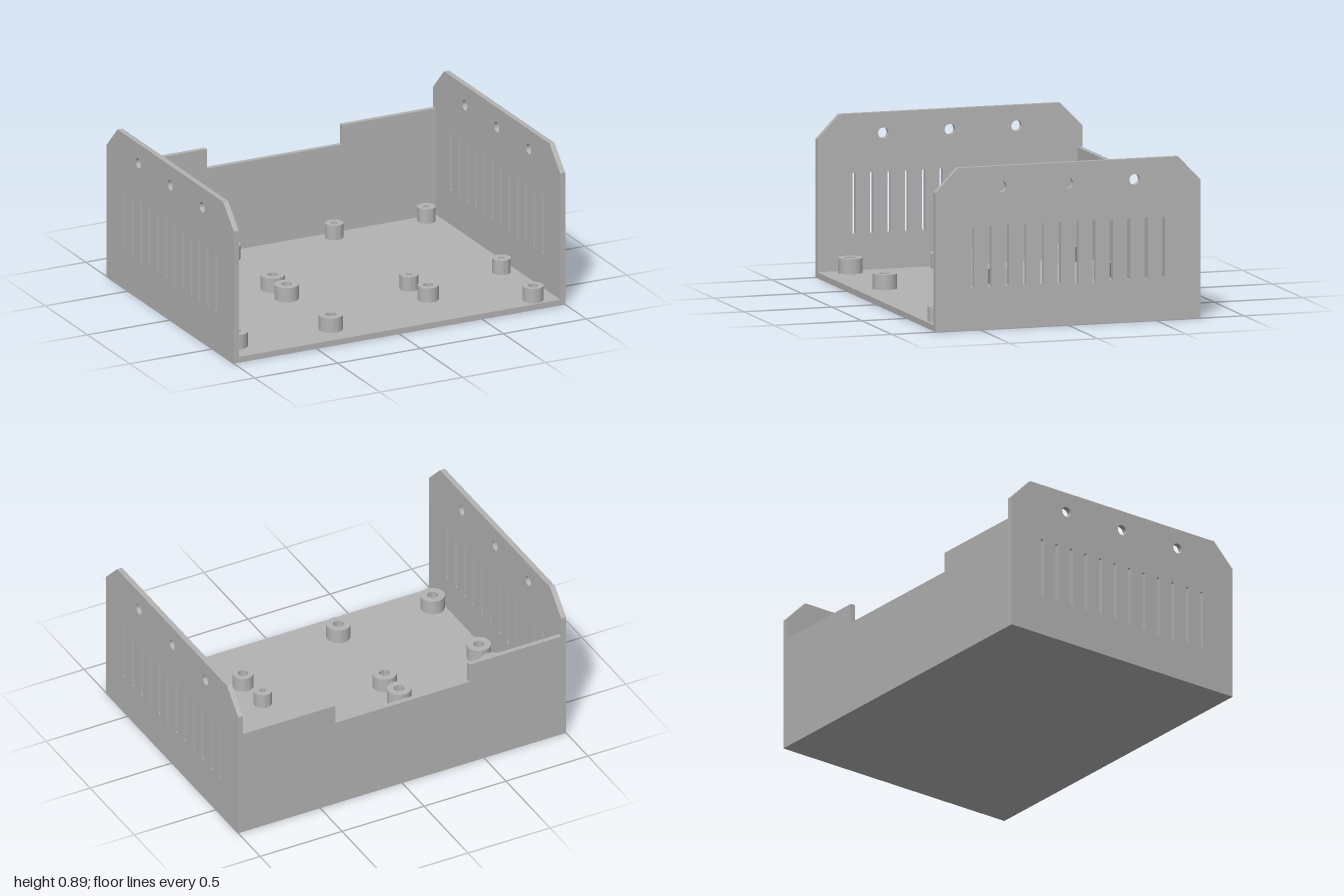
import * as THREE from 'three';
import { toCreasedNormals } from 'three/addons/utils/BufferGeometryUtils.js';

const HALF_X = 1, HALF_Z = 0.752, WALL = 0.03, FLOOR = 0.033;

function polygon(points) {
  return new THREE.Shape(points.map(([x, y]) => new THREE.Vector2(x, y)));
}

function circleHole(x, y, r) {
  return new THREE.Path().absarc(x, y, r, 0, Math.PI * 2, true);
}

function extrude(shape, depth) {
  const geometry = new THREE.ExtrudeGeometry(shape, { depth, bevelEnabled: false, curveSegments: 32 });
  return toCreasedNormals(geometry, 0.6);
}

// Side panel outline in z and y, with vent slots and screw holes
function sidePanelGeometry() {
  const shape = polygon([
    [-HALF_Z, 0], [HALF_Z, 0], [HALF_Z, 0.757], [0.625, 0.886],
    [-0.625, 0.886], [-HALF_Z, 0.757],
  ]);
  for (let i = 0; i < 12; i++) {
    const z = (i - 5.5) * 0.0986, w = 0.0095;
    shape.holes.push(polygon([[z - w, 0.231], [z - w, 0.562], [z + w, 0.562], [z + w, 0.231]]));
  }
  for (const z of [-0.378, 0, 0.378]) shape.holes.push(circleHole(z, 0.773, 0.029));
  return extrude(shape, WALL).rotateY(-Math.PI / 2);
}

// Hollow cylindrical post standing on the floor
function standoffGeometry(radius, bore) {
  const shape = new THREE.Shape().absarc(0, 0, radius, 0, Math.PI * 2, false);
  shape.holes.push(circleHole(0, 0, bore));
  return extrude(shape, 0.082).rotateX(-Math.PI / 2);
}

export function createModel() {
  const group = new THREE.Group();
  group.name = 'enclosure';
  const grey = new THREE.MeshStandardMaterial({ color: 0xb3b3b3 });
  grey.name = 'plainGrey';

  const add = (name, geometry, x, y, z) => {
    const mesh = new THREE.Mesh(geometry, grey);
    mesh.name = name;
    mesh.position.set(x, y, z);
    group.add(mesh);
  };

  // Floor between the side panels
  const inner = HALF_X - WALL;
  add('floor', new THREE.BoxGeometry(2 * inner, FLOOR, 2 * HALF_Z), 0, FLOOR / 2, 0);

  // Side panels
  const side = sidePanelGeometry();
  add('leftPanel', side, HALF_X, 0, 0);
  add('rightPanel', side, -inner, 0, 0);

  // Back panel with a wide notch in its top edge
  const back = polygon([
    [-inner, FLOOR], [inner, FLOOR], [inner, 0.64], [0.407, 0.64],
    [0.407, 0.528], [-0.41, 0.528], [-0.41, 0.64], [-inner, 0.64],
  ]);
  add('backPanel', extrude(back, WALL - 0.003), 0, 0, -HALF_Z);

  // Standoffs in three sizes
  const large = standoffGeometry(0.066, 0.029);
  for (const x of [-0.905, -0.33]) {
    for (const z of [-0.627, -0.102, 0.063, 0.587]) add('largeStandoff', large, x, FLOOR, z);
  }
  const small = standoffGeometry(0.05, 0.0175);
  for (const x of [0.325, 0.882]) {
    for (const z of [-0.66, 0.227]) add('smallStandoff', small, x, FLOOR, z);
  }
  const medium = standoffGeometry(0.057, 0.027);
  add('mediumStandoff', medium, 0.342, FLOOR, 0.42);
  add('mediumStandoff', medium, 0.84, FLOOR, 0.684);

  return group;
}
